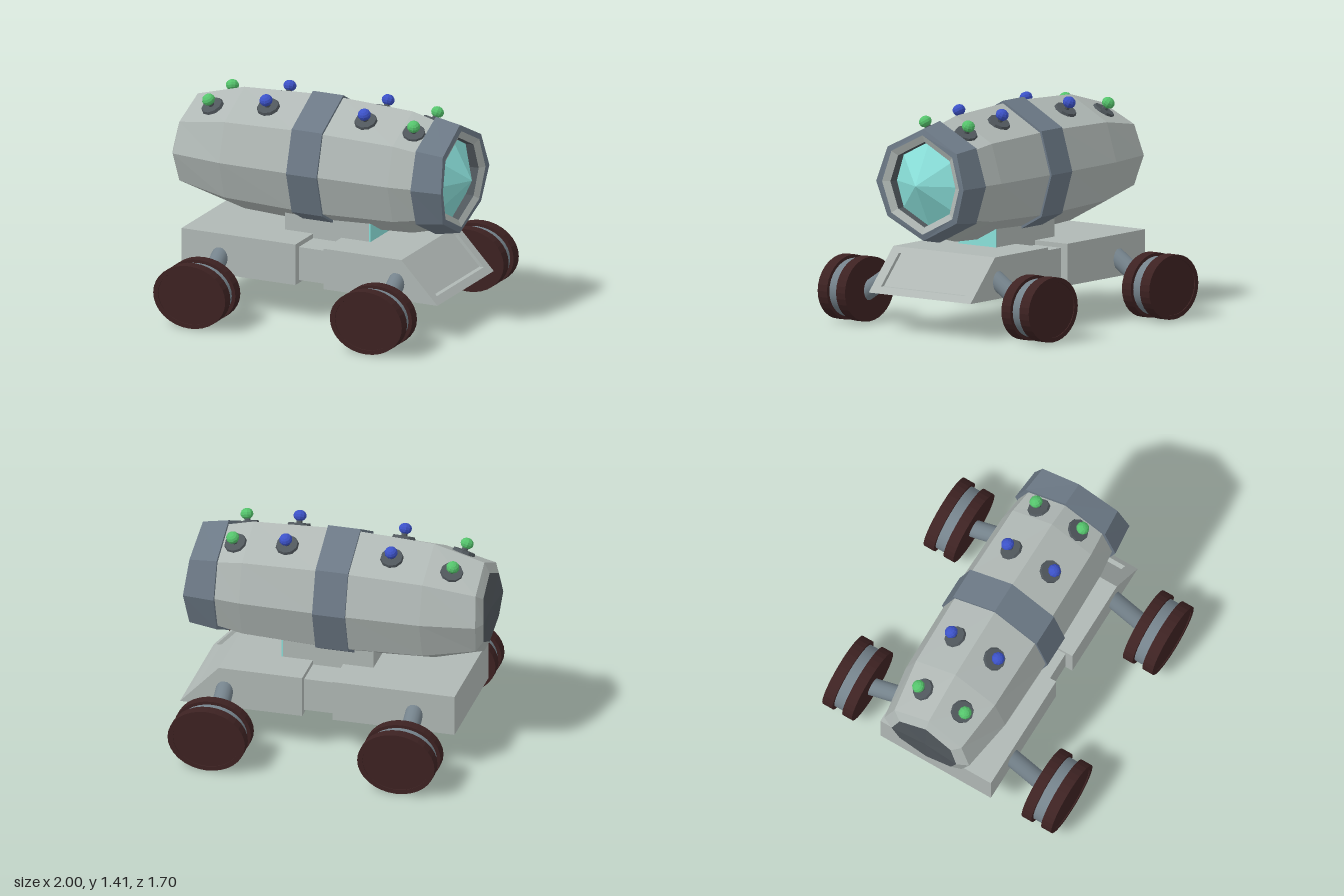
import * as THREE from 'three';

const mat = (color, double) => new THREE.MeshStandardMaterial({
  color, flatShading: true, side: double ? THREE.DoubleSide : THREE.FrontSide,
});
const GREY = mat(0xb0b8b5, true), SLATE = mat(0x6c7986, true), DARK = mat(0x50575c, true);
const TEAL = mat(0x8ae0da), TIRE = mat(0x3d2222), GREEN = mat(0x55c46c), BLUE = mat(0x3c52c8);
const HUB = mat(0x75838c);
HUB.flatShading = false;

const AXIS_Y = 0.965; // height of the barrel axis

function add(parent, name, geometry, material, x = 0, y = 0, z = 0) {
  const mesh = new THREE.Mesh(geometry, material);
  mesh.name = name;
  mesh.position.set(x, y, z);
  parent.add(mesh);
  return mesh;
}

// Eight-sided section across x; bulge pushes the side corners along x
function ring([x, ry, rz, bulge = 0]) {
  const unit = [[1, 0], [0.62, 0.79], [0, 1], [-0.62, 0.79], [-1, 0], [-0.62, -0.79], [0, -1], [0.62, -0.79]];
  return unit.map(([y, z]) => [x + bulge * (1 - Math.abs(y)), y * ry, z * rz]);
}

// Skin joining a row of sections ordered from back to front
function loft(sections) {
  const rings = sections.map(ring), pos = [];
  for (let i = 0; i < rings.length - 1; i++) {
    for (let k = 0; k < 8; k++) {
      const n = (k + 1) % 8;
      const a = rings[i][k], b = rings[i][n], c = rings[i + 1][n], d = rings[i + 1][k];
      pos.push(...a, ...b, ...c, ...a, ...c, ...d);
    }
  }
  const g = new THREE.BufferGeometry();
  g.setAttribute('position', new THREE.Float32BufferAttribute(pos, 3));
  g.computeVertexNormals();
  return g;
}

function makeBarrel() {
  const barrel = new THREE.Group();
  barrel.name = 'barrel';
  barrel.position.y = AXIS_Y;
  add(barrel, 'barrelBody', loft([
    [-0.975, 0.245, 0.24, -0.025], [-0.94, 0.315, 0.315, -0.025], [-0.61, 0.405, 0.37],
    [-0.12, 0.428, 0.378], [0.09, 0.428, 0.378], [0.58, 0.405, 0.368], [0.76, 0.36, 0.345],
  ]), GREY);
  add(barrel, 'rearCap', loft([[-0.985, 0, 0], [-0.975, 0.245, 0.24, -0.025]]), DARK);
  add(barrel, 'middleBand', loft([
    [-0.125, 0.4, 0.35], [-0.125, 0.445, 0.392], [0.09, 0.445, 0.392], [0.09, 0.4, 0.35],
  ]), SLATE);
  add(barrel, 'frontCollar', loft([
    [0.745, 0.33, 0.32], [0.745, 0.392, 0.372], [0.915, 0.36, 0.352, 0.037], [0.925, 0.32, 0.31, 0.02],
  ]), SLATE);
  add(barrel, 'lensRim', loft([[0.925, 0.32, 0.31, 0.02], [0.905, 0.275, 0.262, 0.015]]), GREY);
  add(barrel, 'lensRecess', loft([[0.905, 0.275, 0.262, 0.015], [0.855, 0.272, 0.26]]), DARK);
  add(barrel, 'lens', loft([[0.855, 0.272, 0.26], [1, 0, 0]]), TEAL);
  return barrel;
}

// Ball on a short stem with a base disc lying on the barrel panel
function makeKnob(x, y, side, lean, material) {
  const knob = new THREE.Group();
  knob.name = 'knob';
  knob.position.set(x, y, side * 0.145);
  const normal = new THREE.Vector3(lean, 0.88, side * 0.47).normalize();
  knob.quaternion.setFromUnitVectors(new THREE.Vector3(0, 1, 0), normal);
  add(knob, 'knobBase', new THREE.CylinderGeometry(0.07, 0.08, 0.03, 10), DARK);
  add(knob, 'knobStem', new THREE.CylinderGeometry(0.02, 0.02, 0.06, 8), DARK, 0, 0.03);
  const ball = add(knob, 'knobBall', new THREE.SphereGeometry(0.043, 10, 7), material, 0, 0.062);
  ball.scale.y = 0.85;
  return knob;
}

function makeChassis() {
  const chassis = new THREE.Group();
  chassis.name = 'chassis';
  const box = (w, h, d) => new THREE.BoxGeometry(w, h, d);
  add(chassis, 'rearBlock', box(0.805, 0.27, 0.82), GREY, -0.4525, 0.375);
  add(chassis, 'middleLink', box(0.22, 0.22, 0.72), GREY, 0.05, 0.37);
  add(chassis, 'pedestal', box(0.6, 0.18, 0.3), GREY, 0.05, 0.57);
  add(chassis, 'pedestalPanel', box(0.01, 0.12, 0.3), TEAL, 0.351, 0.57);

  // Front block, cut back along the slope to leave room for the frame
  const side = new THREE.Shape([
    [0.15, 0.24], [0.925, 0.24], [0.67, 0.51], [0.15, 0.51],
  ].map(p => new THREE.Vector2(...p)));
  const block = new THREE.ExtrudeGeometry(side, { depth: 0.82, bevelEnabled: false });
  add(chassis, 'frontBlock', block.translate(0, 0, -0.41), GREY);

  // Sloped frame: outer side section swept across, with a window
  const slope = new THREE.Vector2(-0.255, 0.27), len = slope.length();
  const frame = new THREE.Shape();
  frame.moveTo(-0.41, 0).lineTo(0.41, 0).lineTo(0.41, len).lineTo(-0.41, len).closePath();
  const hole = new THREE.Path();
  hole.moveTo(-0.34, 0.055).lineTo(-0.34, 0.323).lineTo(0.34, 0.323).lineTo(0.34, 0.055).closePath();
  frame.holes.push(hole);
  const frameGeo = new THREE.ExtrudeGeometry(frame, { depth: 0.03, bevelEnabled: false });
  // Width runs along -z, height up the slope, depth back into the block
  const p = frameGeo.attributes.position;
  for (let i = 0; i < p.count; i++) {
    const t = p.getY(i) / len, back = 0.03 - p.getZ(i);
    p.setXYZ(i, 0.955 + slope.x * t - back, 0.24 + slope.y * t, -p.getX(i));
  }
  frameGeo.computeVertexNormals();
  add(chassis, 'frontFrame', frameGeo, GREY);
  return chassis;
}

// Wheel with two tyres on a hub, outer face toward +z
function makeWheel() {
  const wheel = new THREE.Group();
  wheel.name = 'wheel';
  const lathe = pts => new THREE.LatheGeometry(pts.map(q => new THREE.Vector2(...q)), 32).rotateX(Math.PI / 2);
  add(wheel, 'outerTyre', lathe([
    [0, 0.035], [0.255, 0.035], [0.255, 0.11], [0.22, 0.11], [0.22, 0.104], [0, 0.104],
  ]), TIRE);
  add(wheel, 'innerTyre', lathe([[0, -0.11], [0.255, -0.11], [0.255, -0.038], [0, -0.038]]), TIRE);
  add(wheel, 'hub', new THREE.CylinderGeometry(0.23, 0.23, 0.12, 32).rotateX(Math.PI / 2), HUB);
  wheel.scale.y = 0.815;
  return wheel;
}

function makeAxle(x, side) {
  const from = new THREE.Vector3(x, 0.37, side * 0.38), to = new THREE.Vector3(x, 0.185, side * 0.66);
  const path = new THREE.LineCurve3(from, to);
  const axle = new THREE.Mesh(new THREE.TubeGeometry(path, 1, 0.058, 16), HUB);
  axle.name = 'axle';
  return axle;
}

export function createModel() {
  const model = new THREE.Group();
  model.name = 'barrelRover';
  model.add(makeBarrel(), makeChassis());

  for (const side of [1, -1]) {
    // Wheels and axles
    for (const x of [-0.587, 0.663]) {
      const wheel = makeWheel();
      wheel.position.set(x, 0.208, side * 0.74);
      if (side < 0) wheel.rotation.y = Math.PI;
      model.add(wheel, makeAxle(x, side));
    }
    // Knobs along the top
    model.add(
      makeKnob(-0.765, 1.257, side, -0.24, GREEN),
      makeKnob(-0.37, 1.307, side, -0.04, BLUE),
      makeKnob(0.32, 1.307, side, 0.04, BLUE),
      makeKnob(0.66, 1.275, side, 0.2, GREEN),
    );
  }
  return model;
}
